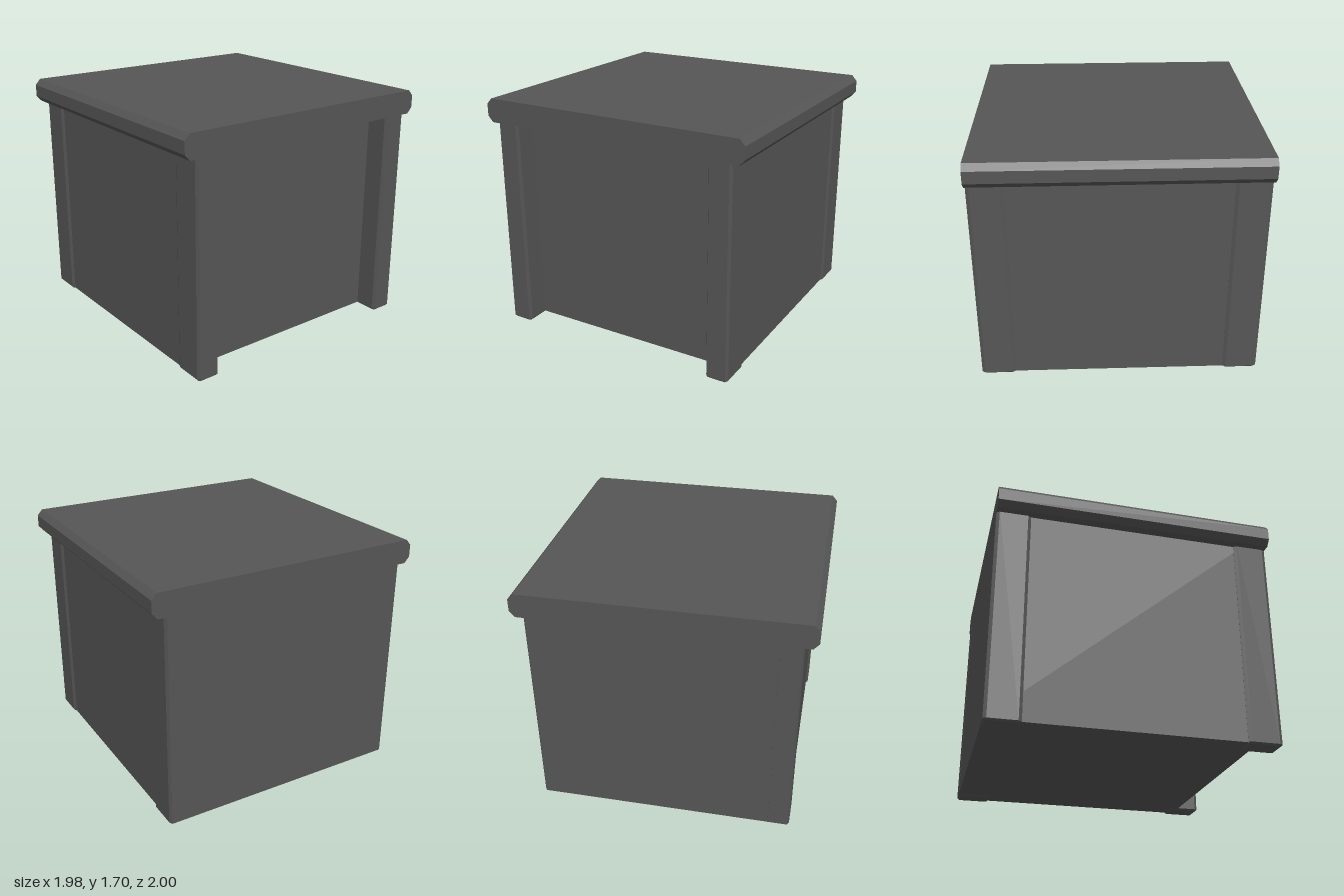
import * as THREE from 'three';

const material = new THREE.MeshStandardMaterial({ color: 0x565656, flatShading: true });

function addMesh(group, name, geometry, x = 0, y = 0, z = 0) {
  const mesh = new THREE.Mesh(geometry, material);
  mesh.name = name;
  mesh.position.set(x, y, z);
  group.add(mesh);
}

// Rectangle with cut corners, centred on the origin
function cutRectangle(w, h, cutX, cutY) {
  const a = w / 2, b = h / 2;
  return new THREE.Shape([
    [a, -b + cutY], [a, b - cutY], [a - cutX, b], [-a + cutX, b],
    [-a, b - cutY], [-a, -b + cutY], [-a + cutX, -b], [a - cutX, -b],
  ].map(([x, y]) => new THREE.Vector2(x, y)));
}

// Upright post standing on y = 0, with every edge chamfered
function postGeometry(w, height, d, cutX, cutZ) {
  const geometry = new THREE.ExtrudeGeometry(cutRectangle(w, d, cutX, cutZ), {
    depth: height - 2 * cutZ, bevelEnabled: true, bevelSegments: 1,
    bevelThickness: cutZ, bevelSize: cutZ, bevelOffset: -cutZ,
  });
  return geometry.translate(0, 0, cutZ).rotateX(-Math.PI / 2);
}

export function createModel() {
  const model = new THREE.Group();
  model.name = 'cabinet';

  // Top slab: chamfered front and back edges, plain ends
  const slab = new THREE.ExtrudeGeometry(cutRectangle(2, 0.17, 0.038, 0.042), {
    depth: 1.98, bevelEnabled: false,
  });
  slab.translate(0, 0, -0.99).rotateY(Math.PI / 2);
  addMesh(model, 'top', slab, 0, 1.613, 0);

  // Body: flush with the posts at -x, set back between them at +x
  const xMin = -0.989, xMax = 0.82, yMin = 0.01, yMax = 1.54;
  addMesh(model, 'body', new THREE.BoxGeometry(xMax - xMin, yMax - yMin, 1.796),
    (xMin + xMax) / 2, (yMin + yMax) / 2, 0);

  // Four corner posts
  const post = postGeometry(0.242, 1.56, 0.165, 0.022, 0.013);
  for (const [sx, side] of [[1, 'Left'], [-1, 'Right']]) {
    for (const [sz, end] of [[1, 'front'], [-1, 'back']]) {
      addMesh(model, `${end}${side}Post`, post, sx * 0.869, 0, sz * 0.83);
    }
  }
  return model;
}
